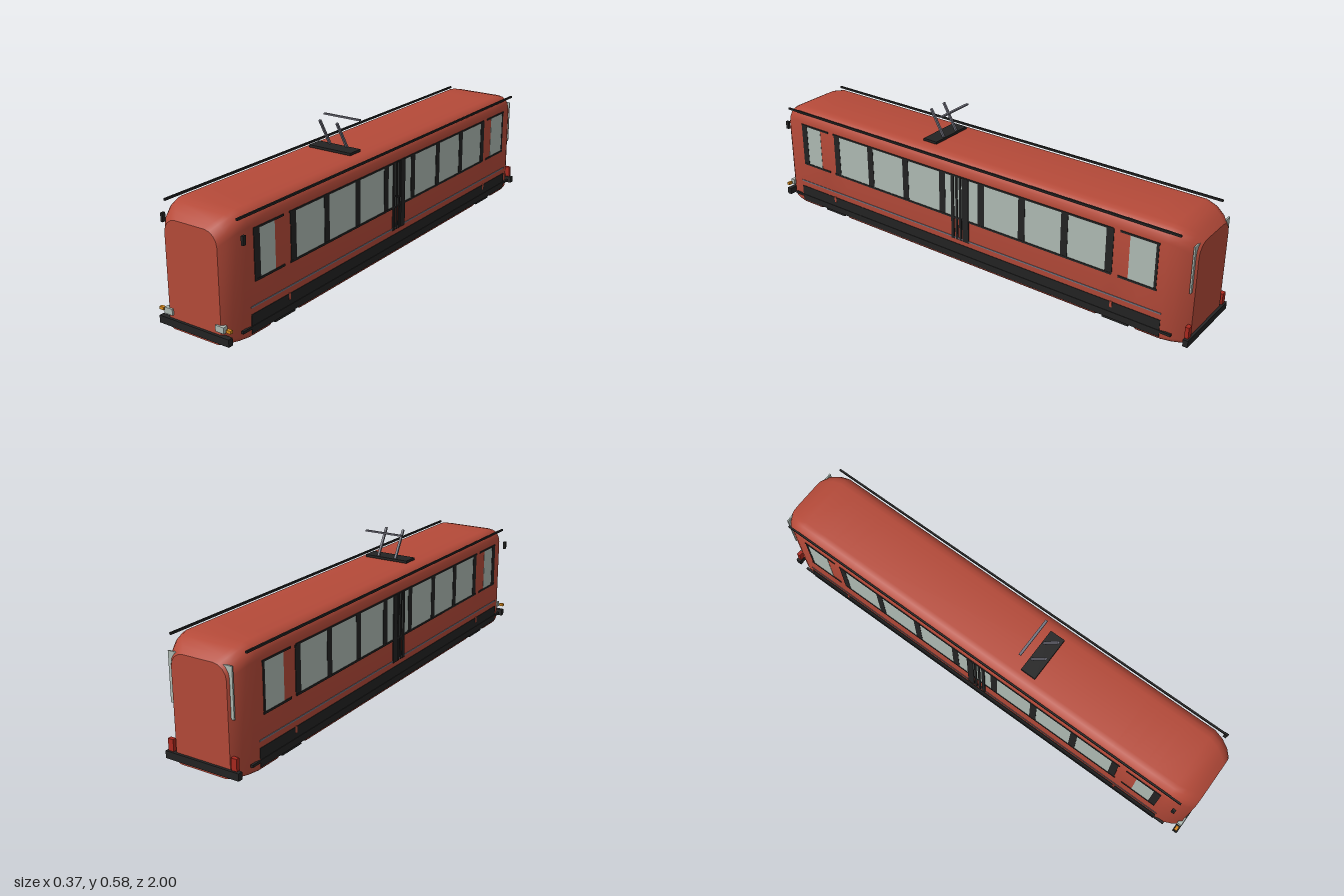
import * as THREE from 'three';
import { toCreasedNormals } from 'three/addons/utils/BufferGeometryUtils.js';

const material = (name, color) => Object.assign(new THREE.MeshStandardMaterial({ color }), { name });

// Rounded cross-section, counter-clockwise seen from the front
function section(w, top, bottom) {
  const half = [];
  const arc = (cx, cy, r, from, steps) => {
    for (let i = 0; i <= steps; i++) {
      const a = from + (i / steps) * Math.PI / 2;
      half.push([cx + r * Math.cos(a), cy + r * Math.sin(a)]);
    }
  };
  arc(w - 0.02, bottom + 0.02, 0.02, -Math.PI / 2, 3);
  arc(w - 0.053, top - 0.053, 0.053, 0, 4);
  return [...half, ...half.slice().reverse().map(([x, y]) => [-x, y])];
}

// Lofted shell: tapered ends and two wheel recesses underneath
function bodyGeometry() {
  const low = 0.003, high = 0.05;
  const front = [ // z, half width, roof height, floor height
    [0.62, 0.162, 0.455, low], [0.68, 0.162, 0.455, high], [0.75, 0.162, 0.455, high],
    [0.79, 0.162, 0.455, low], [0.89, 0.162, 0.455, low], [0.93, 0.153, 0.446, low],
    [0.965, 0.137, 0.428, low], [0.99, 0.117, 0.407, low],
  ];
  const stations = [...front.slice().reverse().map(([z, ...r]) => [-z, ...r]), ...front];
  const rings = stations.map(([z, w, t, b]) => section(w, t, b).map(([x, y]) => [x, y, z]));
  const n = rings[0].length, pos = [];
  const tri = (...pts) => pts.forEach(p => pos.push(...p));
  for (let i = 0; i < rings.length - 1; i++) {
    for (let j = 0; j < n; j++) {
      const k = (j + 1) % n, a = rings[i], b = rings[i + 1];
      tri(a[j], a[k], b[j]);
      tri(a[k], b[k], b[j]);
    }
  }
  const first = rings[0], last = rings[rings.length - 1];
  for (let j = 0; j < n; j++) {
    const k = (j + 1) % n;
    tri([0, 0.2, 0.99], last[j], last[k]);
    tri([0, 0.2, -0.99], first[k], first[j]);
  }
  const g = new THREE.BufferGeometry();
  g.setAttribute('position', new THREE.Float32BufferAttribute(pos, 3));
  return toCreasedNormals(g, 0.56);
}

export function createModel() {
  const red = material('body red', 0xb54a39);
  const black = material('trim black', 0x232323);
  const glass = material('pale glass', 0xaebab3);
  const grey = material('metal grey', 0x73737f);
  const orange = material('indicator orange', 0xd88a1c);
  const tail = material('tail light red', 0xa8281e);

  const model = new THREE.Group();
  model.name = 'railcar';
  const add = (name, geo, mat) => {
    const m = new THREE.Mesh(geo, mat);
    m.name = name;
    model.add(m);
    return m;
  };
  // Box from its limits
  const box = (name, mat, x0, x1, y0, y1, z0, z1) => {
    const m = add(name, new THREE.BoxGeometry(x1 - x0, y1 - y0, z1 - z0), mat);
    m.position.set((x0 + x1) / 2, (y0 + y1) / 2, (z0 + z1) / 2);
    return m;
  };
  // Same box on both sides
  const pair = (name, mat, x0, x1, ...rest) => {
    box(name + 'Left', mat, x0, x1, ...rest);
    box(name + 'Right', mat, -x1, -x0, ...rest);
  };

  add('body', bodyGeometry(), red);

  // Passenger windows with pillars and rails
  const y0 = 0.205, y1 = 0.39;
  pair('windowGlass', glass, 0.159, 0.163, y0, y1, -0.67, 0.67);
  for (let i = 0; i < 8; i++) {
    const z = 0.66 - i * 0.19;
    pair('windowPillar', black, 0.159, 0.164, y0, y1, z - 0.015, z + 0.015);
  }
  const rails = (z0, z1) => {
    pair('windowSill', black, 0.159, 0.165, y0 - 0.003, y0 + 0.005, z0, z1);
    pair('windowHeader', black, 0.159, 0.165, y1 - 0.004, y1 + 0.003, z0, z1);
  };
  rails(-0.68, 0.68);

  // Cab windows at both ends
  rails(0.71, 0.865);
  pair('cabGlass', glass, 0.159, 0.163, y0, y1, 0.757, 0.84);
  pair('cabPillar', black, 0.159, 0.164, y0, y1, 0.835, 0.865);
  rails(-0.865, -0.71);
  pair('rearCabGlass', glass, 0.159, 0.163, y0, y1, -0.855, -0.75);
  pair('rearCabPillar', black, 0.159, 0.164, y0, y1, -0.863, -0.853);

  // Centre door bars
  for (const [z, w] of [[0.038, 0.014], [0.018, 0.01], [0, 0.01], [-0.025, 0.03]]) {
    pair('doorBar', black, 0.159, 0.166, 0.11, y1, z - w / 2, z + w / 2);
  }

  // Trim line, skirts and steps
  pair('trimLine', grey, 0.159, 0.164, 0.113, 0.119, -0.89, 0.89);
  pair('skirt', black, 0.155, 0.164, 0.02, 0.09, -0.89, 0.89);
  pair('lowerRail', black, 0.157, 0.166, 0.038, 0.048, -0.935, 0.935);
  for (const z of [-0.69, 0.69]) {
    pair('sideMarker', red, 0.159, 0.1655, 0.068, 0.092, z - 0.005, z + 0.005);
    pair('bogie', black, 0.115, 0.155, 0.006, 0.055, z + Math.sign(z) * 0.015 - 0.055, z + Math.sign(z) * 0.015 + 0.055);
  }

  // Roof rails and mirrors
  pair('roofRail', black, 0.157, 0.164, 0.441, 0.449, -0.94, 0.94);
  pair('mirror', black, 0.175, 0.185, 0.36, 0.393, 0.926, 0.94);

  // Bumpers and lamps
  box('frontBumper', black, -0.158, 0.158, 0.015, 0.043, 0.98, 1);
  box('rearBumper', black, -0.158, 0.158, 0.015, 0.043, -1, -0.98);
  pair('headlight', glass, 0.098, 0.135, 0.056, 0.079, 0.978, 0.997);
  pair('indicator', orange, 0.143, 0.162, 0.062, 0.073, 0.982, 0.994);
  pair('tailLight', tail, 0.125, 0.148, 0.045, 0.09, -0.995, -0.98);

  // Rear window edges showing past the tapered end
  box('rearWindow', glass, -0.135, 0.135, 0.22, 0.405, -0.982, -0.976);

  // Pantograph
  box('pantographBase', black, -0.097, 0.097, 0.459, 0.469, 0.17, 0.235);
  const rise = 0.108, run = 0.062;
  for (const x of [-0.04, 0.04]) {
    const arm = add('pantographArm', new THREE.BoxGeometry(0.009, Math.hypot(rise, run), 0.008), grey);
    arm.position.set(x, 0.469 + rise / 2, 0.178 + run / 2);
    arm.rotation.x = Math.atan2(run, rise);
  }
  box('pantographBar', grey, -0.085, 0.085, 0.573, 0.579, 0.148, 0.158);
  return model;
}
